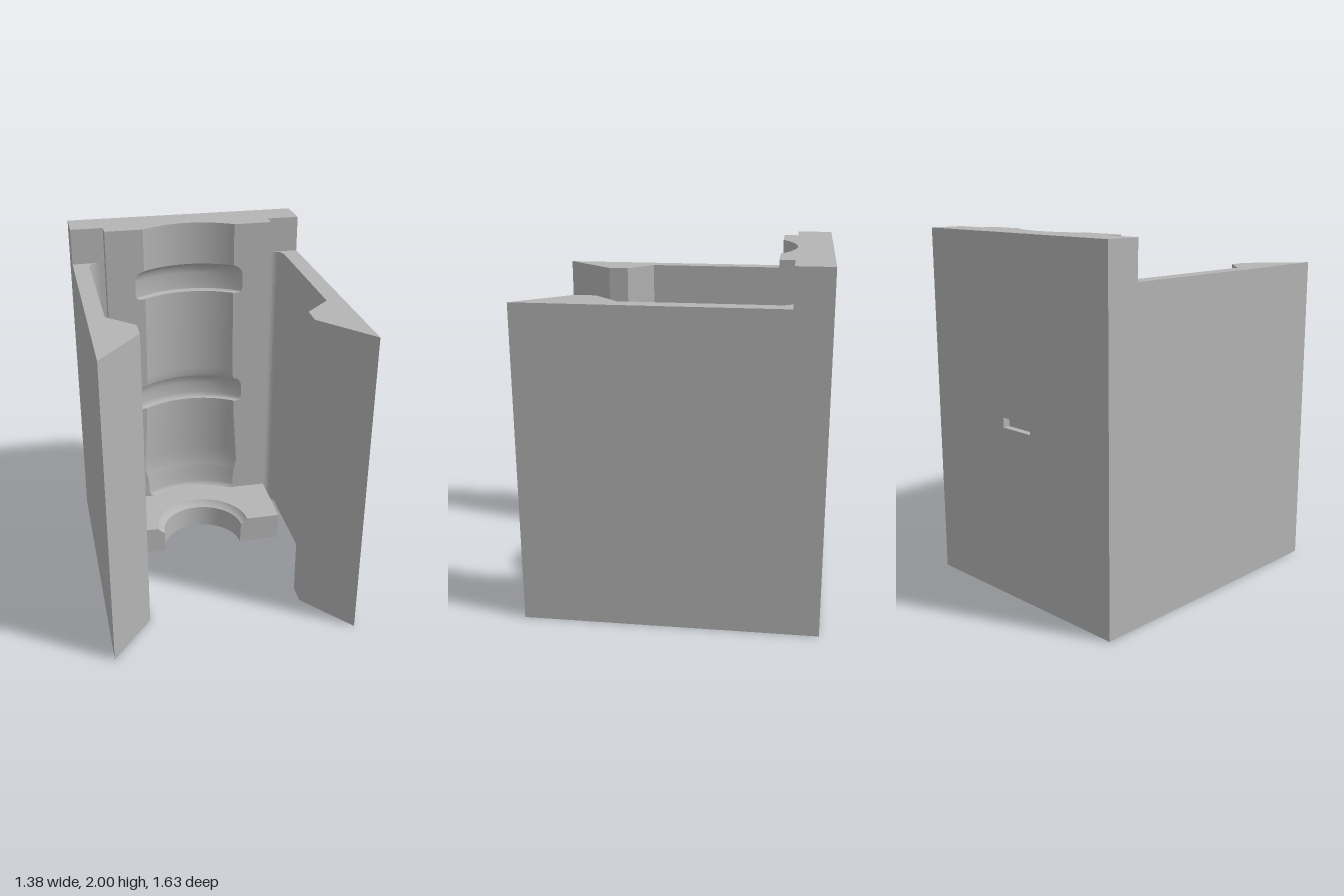
import * as THREE from 'three';
import { toCreasedNormals } from 'three/addons/utils/BufferGeometryUtils.js';

const AXIS = -0.14;              // z of the vertical socket axis
const W = 0.69, BACK = -0.82, SHOULDER = -0.62, FACE = -0.54;
const ARM_TOP = 1.79, TOP = 2, LIP = 0.17, BLOCK = 0.5;

const mirror = (pts) => pts.map(([x, z]) => [-x, z]).reverse();

// Arc around the socket axis, cut off at distance d in front of it, from -x to +x
function arc(r, d, n = 40) {
  const a = Math.acos(d / r);
  return Array.from({ length: n + 1 }, (_, i) => {
    const t = -a + (2 * a * i) / n;
    return [r * Math.sin(t), AXIS - r * Math.cos(t)];
  });
}

function fromQuads(quads) {
  const pos = [];
  for (const [a, b, c, d] of quads) pos.push(...a, ...b, ...c, ...a, ...c, ...d);
  const g = new THREE.BufferGeometry();
  g.setAttribute('position', new THREE.Float32BufferAttribute(pos, 3));
  g.computeVertexNormals();
  return g;
}

// Upright faces along a plan line of [x, z] points
function walls(pts, y0, y1) {
  return fromQuads(pts.slice(1).map(([x, z], i) => {
    const [px, pz] = pts[i];
    return [[px, y0, pz], [x, y0, z], [x, y1, z], [px, y1, pz]];
  }));
}

// Level face bounded by [x, z] points, facing up or down
function cap(pts, y, up) {
  const s = up ? -1 : 1;
  const shape = new THREE.Shape(pts.map(([x, z]) => new THREE.Vector2(x, s * z)));
  return new THREE.ShapeGeometry(shape).rotateX(s * Math.PI / 2).translate(0, y, 0);
}

// Revolved hollow through a profile of [radius, y] points
function hollow(profile, d) {
  const quads = [];
  for (let i = 1; i < profile.length; i++) {
    const [r0, y0] = profile[i - 1], [r1, y1] = profile[i];
    const lo = arc(r0, d), hi = arc(r1, d);
    for (let j = 1; j < lo.length; j++) {
      quads.push([
        [lo[j - 1][0], y0, lo[j - 1][1]], [lo[j][0], y0, lo[j][1]],
        [hi[j][0], y1, hi[j][1]], [hi[j - 1][0], y1, hi[j - 1][1]],
      ]);
    }
  }
  return toCreasedNormals(fromQuads(quads), 0.6);
}

// Flat front faces left and right of a hollow
function cheeks(profile, d) {
  const quads = [], z = AXIS - d;
  for (let i = 1; i < profile.length; i++) {
    const [r0, y0] = profile[i - 1], [r1, y1] = profile[i];
    if (y1 - y0 < 1e-5) continue;
    const w0 = Math.sqrt(r0 * r0 - d * d), w1 = Math.sqrt(r1 * r1 - d * d);
    quads.push([[w0, y0, z], [BLOCK, y0, z], [BLOCK, y1, z], [w1, y1, z]]);
    quads.push([[-BLOCK, y0, z], [-w0, y0, z], [-w1, y1, z], [-BLOCK, y1, z]]);
  }
  return fromQuads(quads);
}

export function createModel() {
  const group = new THREE.Group();
  const grey = new THREE.MeshStandardMaterial({ color: 0xb4b4b4 });
  grey.name = 'grey';
  const add = (name, geometry) => {
    const m = new THREE.Mesh(geometry, grey);
    m.name = name;
    group.add(m);
  };
  const addPair = (name, pts, y0, y1) => {
    add(name + 'Left', walls(pts, y0, y1));
    add(name + 'Right', walls(mirror(pts), y0, y1));
  };

  // Socket profile as half-widths on the front face, with two ring grooves
  const d = AXIS - FACE;
  const socket = [
    [0.255, LIP], [0.275, 0.18], [0.285, 0.2], [0.288, 0.3], [0.297, 0.33],
    [0.308, 0.38], [0.304, 0.45], [0.296, 0.57], [0.288, 0.7], [0.283, 0.83],
    [0.315, 0.83], [0.328, 0.838], [0.335, 0.86], [0.335, 0.93], [0.328, 0.96],
    [0.31, 0.983], [0.285, 0.99], [0.277, 1.01], [0.275, 1.05], [0.272, 1.57],
    [0.31, 1.57], [0.325, 1.578], [0.33, 1.6], [0.33, 1.68], [0.325, 1.71],
    [0.3, 1.735], [0.275, 1.745], [0.275, TOP],
  ].map(([w, y]) => [Math.hypot(w, d), y]);
  add('socketHollow', hollow(socket, d));
  add('socketFront', cheeks(socket, d));

  // Foot ledge with a round, flared opening
  const opening = [[0.245, 0], [0.25, 0.135], [0.262, 0.14], [0.285, 0.16], [0.29, LIP]];
  add('ledgeOpening', hollow(opening, 0));
  add('ledgeFront', cheeks(opening, 0));
  addPair('ledgeSide', [[BLOCK, AXIS], [BLOCK, FACE]], 0, LIP);
  const ledge = [[0.29, AXIS], [BLOCK, AXIS], [BLOCK, FACE]];
  add('ledgeTop', cap([
    ...ledge, ...arc(socket[0][0], d).reverse(), ...mirror(ledge),
    ...arc(0.29, 0).slice(1, -1),
  ], LIP, true));

  // Clip arms with hooked ends and a rounded inner root
  const root = [];
  for (let i = 0; i <= 8; i++) {
    const t = (i / 8) * Math.PI / 2;
    root.push([0.53 + 0.065 * Math.sin(t), SHOULDER + 0.065 - 0.065 * Math.cos(t)]);
  }
  const armInner = [[BLOCK, SHOULDER], ...root,
    [0.595, 0.27], [0.45, 0.41], [0.45, 0.525], [W, 0.815]];
  addPair('armWall', [...armInner, [W, BACK]], 0, ARM_TOP);
  const armTop = [...armInner.slice(1), [W, SHOULDER]];
  add('armTopLeft', cap(armTop, ARM_TOP, true));
  add('armTopRight', cap(mirror(armTop), ARM_TOP, true));

  // Back block: sides, raised shoulders and top
  addPair('blockSide', [[BLOCK, FACE], [BLOCK, SHOULDER]], 0, TOP);
  addPair('shoulder', [[BLOCK, SHOULDER], [W, SHOULDER], [W, BACK]], ARM_TOP, TOP);
  const rear = [[BLOCK, FACE], [BLOCK, SHOULDER], [W, SHOULDER], [W, BACK]];
  add('blockTop', cap([
    ...rear, ...mirror(rear), ...arc(socket.at(-1)[0], d),
  ], TOP, true));

  // Underside
  const plan = [[BLOCK, AXIS], ...armInner, [W, BACK]];
  add('underside', cap([...plan, ...mirror(plan), ...arc(0.245, 0)], 0, false));

  // Back face with a shallow slot
  const sx = 0.11, s0 = 0.965, s1 = 1.02, sz = BACK + 0.04;
  const rect = (T, x, y0, y1) => new T([[-x, y0], [x, y0], [x, y1], [-x, y1]]
    .map(([a, b]) => new THREE.Vector2(a, b)));
  const back = rect(THREE.Shape, W, 0, TOP);
  back.holes.push(rect(THREE.Path, sx, s0, s1));
  add('backFace', new THREE.ShapeGeometry(back).rotateY(Math.PI).translate(0, 0, BACK));
  const slot = [[sx, BACK], [sx, sz], [-sx, sz], [-sx, BACK]];
  add('slotWalls', walls(slot, s0, s1));
  add('slotFloor', cap(slot, s0, true));
  add('slotCeiling', cap(slot, s1, false));

  return group;
}
